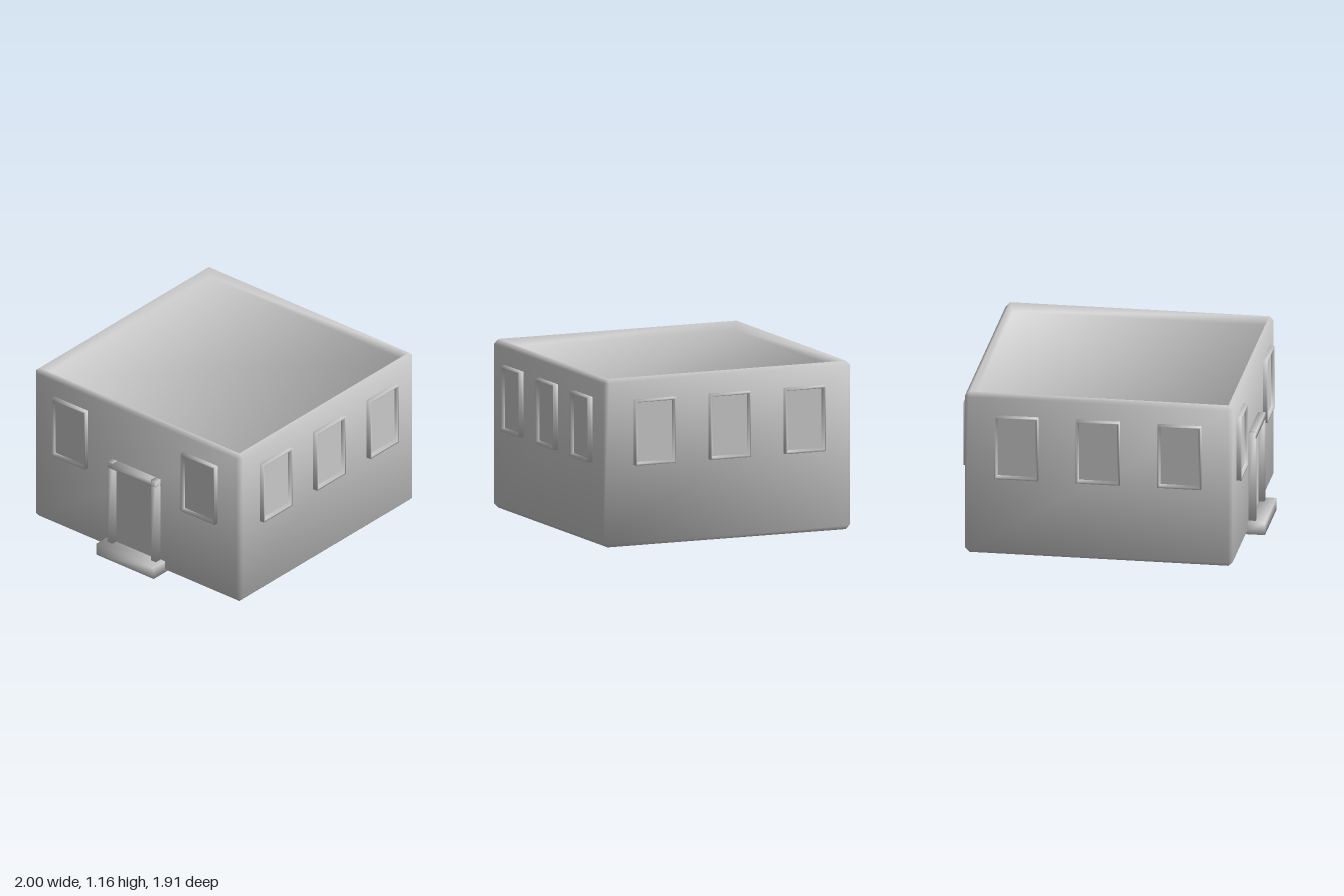
import * as THREE from 'three';

const material = new THREE.MeshStandardMaterial({ color: 0xcccccc });
const CENTRE_X = 0.04, HALF = 0.92;

function addMesh(parent, name, geometry, x = 0, y = 0, z = 0) {
  const mesh = new THREE.Mesh(geometry, material);
  mesh.name = name;
  mesh.position.set(x, y, z);
  parent.add(mesh);
  return mesh;
}

// Smooth normals, each face weighted by its angle at the corner
function smoothGeometry(triangles) {
  const key = (p) => p.toArray().map((n) => Math.round(n * 1e4)).join();
  const normals = new Map();
  for (const t of triangles) {
    const face = new THREE.Triangle(...t).getNormal(new THREE.Vector3());
    t.forEach((p, i) => {
      const a = t[(i + 1) % 3].clone().sub(p), b = t[(i + 2) % 3].clone().sub(p);
      const sum = normals.get(key(p)) ?? new THREE.Vector3();
      normals.set(key(p), sum.addScaledVector(face, a.angleTo(b)));
    });
  }
  const corners = triangles.flat();
  const geometry = new THREE.BufferGeometry().setFromPoints(corners);
  const values = corners.flatMap((p) => normals.get(key(p)).clone().normalize().toArray());
  geometry.setAttribute('normal', new THREE.Float32BufferAttribute(values, 3));
  return geometry;
}

function quad(a, b, c, d) {
  return [[a, b, c], [a, c, d]].filter((t) => new THREE.Triangle(...t).getArea() > 1e-8);
}

// Skin between successive rings of equal length
function skin(rings) {
  const triangles = [];
  for (let r = 0; r < rings.length - 1; r++)
    rings[r].forEach((p, i) => {
      const j = (i + 1) % rings[r].length;
      triangles.push(...quad(p, rings[r][j], rings[r + 1][j], rings[r + 1][i]));
    });
  return triangles;
}

// Square ring with chamfered corners, counter-clockwise seen from above
function squareRing([half, y, chamfer]) {
  const points = [];
  let corner = [[half - chamfer, half], [half, half - chamfer]];
  for (let i = 0; i < 4; i++) {
    points.push(...corner.map(([x, z]) => new THREE.Vector3(x, y, z)));
    corner = corner.map(([x, z]) => [z, -x]);
  }
  return points;
}

// Bevelled block whose flat roof is sunk a little behind a sloped rim
function buildingGeometry() {
  const rings = [
    [HALF - 0.03, 0, 0], [HALF, 0.03, 0.03], [HALF, 1.13, 0.03],
    [HALF - 0.03, 1.16, 0], [HALF - 0.05, 1.10, 0],
  ].map(squareRing);
  const base = rings[0], roof = rings.at(-1);
  return smoothGeometry([
    ...skin(rings),
    ...quad(base[6], base[4], base[2], base[0]),
    ...quad(roof[0], roof[2], roof[4], roof[6]),
  ]);
}

// Window frame facing +z, its opening narrowing towards the pane
function frameGeometry(depth) {
  const rings = [[0.15, 0.225, 0], [0.15, 0.225, depth], [0.138, 0.213, depth], [0.13, 0.203, 0.005]];
  return smoothGeometry(skin(rings.map(([w, h, z]) =>
    [[w, -h], [w, h], [-w, h], [-w, -h]].map(([x, y]) => new THREE.Vector3(x, y, z)))));
}

// Box with shared, softened corners
function softBox(width, height, depth) {
  const position = new THREE.BoxGeometry(width, height, depth).toNonIndexed().attributes.position;
  const point = (i) => new THREE.Vector3().fromBufferAttribute(position, i);
  const triangles = [];
  for (let i = 0; i < position.count; i += 3) triangles.push([point(i), point(i + 1), point(i + 2)]);
  return smoothGeometry(triangles);
}

function makeWindow(depth) {
  const group = new THREE.Group();
  group.name = 'window';
  addMesh(group, 'windowFrame', frameGeometry(depth));
  addMesh(group, 'windowPane', new THREE.BoxGeometry(0.27, 0.42, 0.02));
  return group;
}

function makeDoor() {
  const group = new THREE.Group();
  group.name = 'door';
  const width = 0.43, bottom = 0.08, top = 0.715, bar = 0.045, depth = 0.07;
  for (const side of [-1, 1])
    addMesh(group, 'doorPost', softBox(bar, top - bottom, depth),
      side * (width - bar) / 2, (top + bottom) / 2, 0.015);
  addMesh(group, 'doorLintel', softBox(width, bar, depth), 0, top - bar / 2, 0.015);
  addMesh(group, 'doorPanel', new THREE.BoxGeometry(width - 2 * bar, top - bar - bottom, 0.02),
    0, (top - bar + bottom) / 2, 0);
  addMesh(group, 'doorStep', softBox(0.51, 0.085, 0.17), 0, 0.0425, 0.035);
  return group;
}

export function createModel() {
  const model = new THREE.Group();
  model.name = 'building';
  addMesh(model, 'walls', buildingGeometry(), CENTRE_X);

  // One group per wall: local +z faces outwards
  const walls = [
    { name: 'frontWall', angle: 0, windows: [-0.56, 0, 0.56], depth: 0.036 },
    { name: 'leftWall', angle: Math.PI / 2, windows: [-0.56, 0, 0.56], depth: 0.04 },
    { name: 'backWall', angle: Math.PI, windows: [-0.56, 0, 0.56], depth: 0.036 },
    { name: 'rightWall', angle: -Math.PI / 2, windows: [-0.58, 0.57], depth: 0.032, door: true },
  ];
  for (const { name, angle, windows, depth, door } of walls) {
    const wall = new THREE.Group();
    wall.name = name;
    wall.position.x = CENTRE_X;
    wall.rotation.y = angle;
    for (const x of windows) {
      const unit = makeWindow(depth);
      unit.position.set(x, 0.785, HALF);
      wall.add(unit);
    }
    if (door) {
      const unit = makeDoor();
      unit.position.z = HALF;
      wall.add(unit);
    }
    model.add(wall);
  }
  return model;
}
